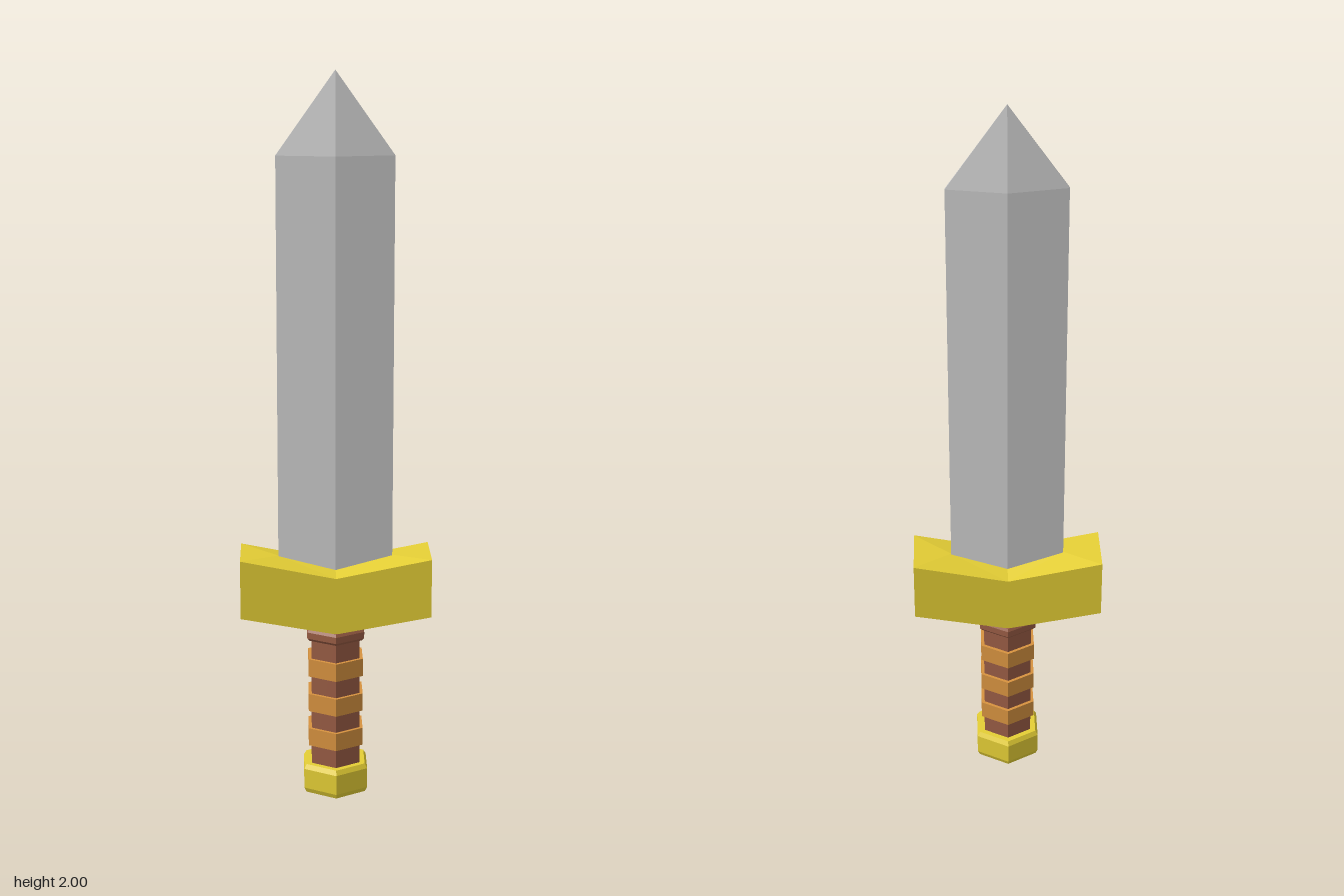
import * as THREE from 'three';

const material = (color) => new THREE.MeshStandardMaterial({ color, flatShading: true });

function addMesh(group, name, geometry, mat, y = 0) {
  const mesh = new THREE.Mesh(geometry, mat);
  mesh.name = name;
  mesh.position.y = y;
  group.add(mesh);
  return mesh;
}

// Builds a flat-shaded geometry from triangles of [x, y, z] points
function fromTriangles(triangles) {
  const geometry = new THREE.BufferGeometry();
  geometry.setAttribute('position', new THREE.Float32BufferAttribute(triangles.flat(2), 3));
  geometry.computeVertexNormals();
  return geometry;
}

const quad = (a, b, c, d) => [[a, b, c], [a, c, d]];

// Six-sided turned part with ridges facing front and back
const hexLathe = (profile) =>
  new THREE.LatheGeometry(profile.map(([r, y]) => new THREE.Vector2(r, y)), 6);

// Blade: thin diamond section with slim edges, closing to a point
function bladeGeometry() {
  const w = 0.157, d = 0.034, e = 0.003;
  const section = [[w, e], [w, -e], [0, -d], [-w, -e], [-w, e], [0, d]];
  const ring = (y) => section.map(([x, z]) => [x, y, z]);
  const low = ring(0.62), high = ring(1.78), tip = [0, 2, 0];
  const triangles = [];
  for (let i = 0; i < 6; i++) {
    const j = (i + 1) % 6;
    triangles.push(...quad(low[i], low[j], high[j], high[i]), [high[i], high[j], tip]);
  }
  return fromTriangles(triangles);
}

// Guard: V-shaped bar with facets rising to the blade and dropping to the grip
function guardGeometry() {
  const w = 0.261, d = 0.082;
  const triangles = [];
  // One quarter, mirrored in x and z
  for (const sx of [1, -1]) for (const sz of [1, -1]) {
    const p = (x, y, z) => [sx * x, y, sz * z];
    const topEnd = p(w, 0.695, d), topMid = p(0, 0.643, d);
    const lowEnd = p(w, 0.53, d), lowMid = p(0, 0.483, d);
    const topIn = p(0.157, 0.685, 0), topRidge = p(0, 0.653, 0.034);
    const topEndMid = p(w, 0.695, 0), lowEndMid = p(w, 0.53, 0);
    const lowIn = p(0.075, 0.482, 0), lowCentre = p(0, 0.478, 0);
    const part = [
      ...quad(lowMid, lowEnd, topEnd, topMid),
      ...quad(lowEnd, lowEndMid, topEndMid, topEnd),
      [topEnd, topEndMid, topIn],
      ...quad(topMid, topEnd, topIn, topRidge),
      [lowEnd, lowIn, lowEndMid],
      [lowMid, lowIn, lowEnd],
      [lowMid, lowCentre, lowIn],
    ];
    triangles.push(...(sx * sz > 0 ? part : part.map(([a, b, c]) => [a, c, b])));
  }
  return fromTriangles(triangles);
}

export function createModel() {
  const model = new THREE.Group();
  model.name = 'shortSword';
  const steel = material(0xcccccc);
  const gold = material(0xe4ce35);
  const leather = material(0x985c44);
  const wrap = material(0xd6923f);

  addMesh(model, 'blade', bladeGeometry(), steel);
  addMesh(model, 'guard', guardGeometry(), gold);

  // Grip with its collar under the guard
  addMesh(model, 'grip', new THREE.CylinderGeometry(0.077, 0.077, 0.44, 6), leather, 0.27);
  addMesh(model, 'collar', hexLathe([
    [0, 0.45], [0.083, 0.45], [0.091, 0.458], [0.091, 0.476], [0.086, 0.484], [0, 0.484],
  ]), leather);

  // Raised bands around the grip
  for (const y of [0.165, 0.268, 0.371]) {
    addMesh(model, 'gripBand', new THREE.CylinderGeometry(0.087, 0.087, 0.051, 6), wrap, y);
  }

  // Pommel with bevelled rims
  addMesh(model, 'pommel', hexLathe([
    [0, 0], [0.095, 0], [0.102, 0.014], [0.102, 0.071], [0.094, 0.084], [0, 0.084],
  ]), gold);

  return model;
}
